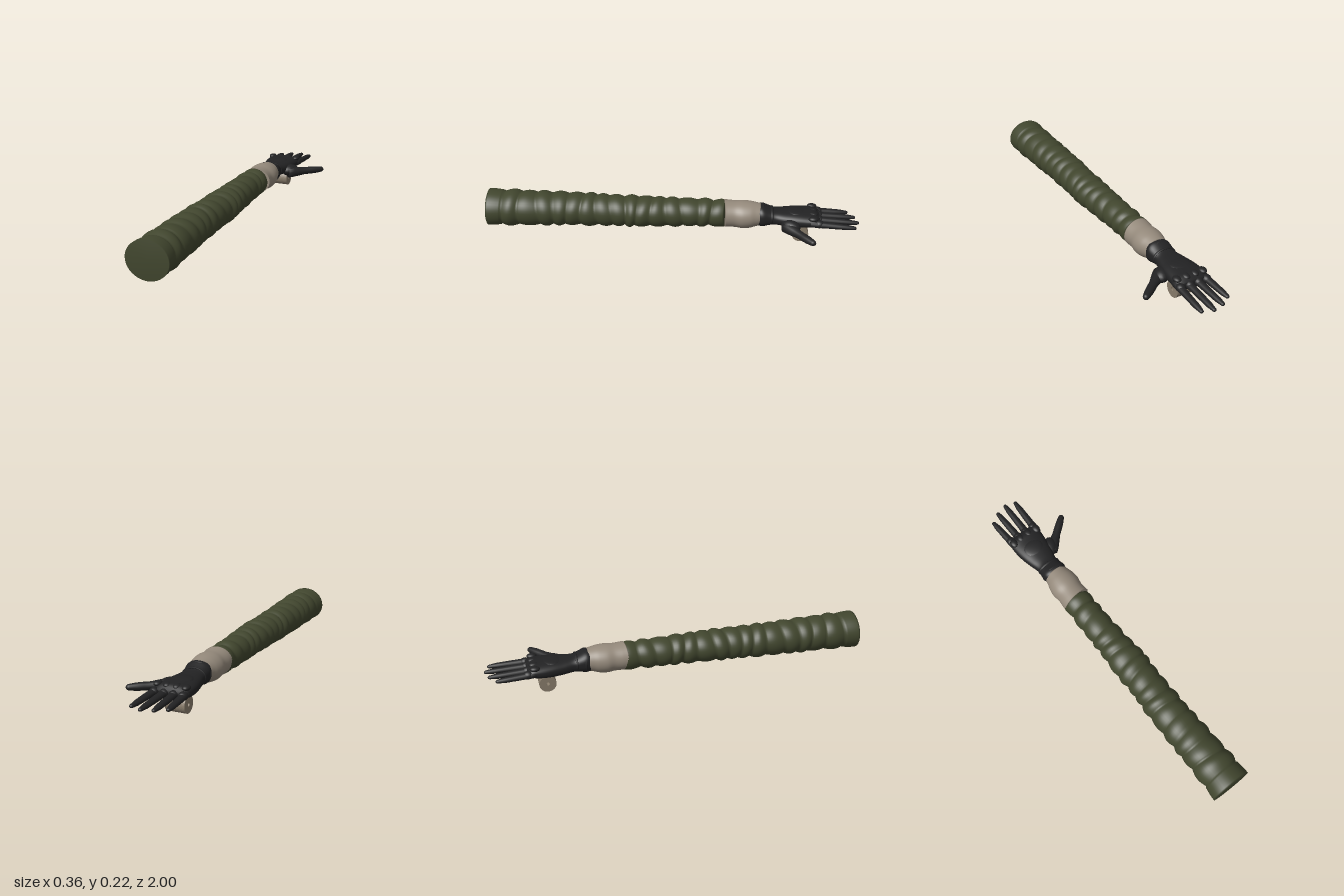
import * as THREE from 'three';

const flat = (name, color) => {
  const m = new THREE.MeshStandardMaterial({ color });
  m.name = name;
  return m;
};
const green = flat('oliveGreen', 0x41462e);
const taupe = flat('cuffTaupe', 0x94897b);
const tan = flat('rollTan', 0x887c6b);
const black = flat('gloveBlack', 0x222223);

function add(parent, name, geometry, material) {
  const mesh = new THREE.Mesh(geometry, material);
  mesh.name = name;
  parent.add(mesh);
  return mesh;
}

// Closed skin through elliptical rings [z, x, y, rx, ry], running from +z to -z
function loft(rings, { sides = 40, power = 2, wobble = () => 0 } = {}) {
  const pos = [], index = [];
  rings.forEach(([z, x, y, rx, ry], i) => {
    for (let j = 0; j < sides; j++) {
      const a = (j / sides) * Math.PI * 2, c = Math.cos(a), s = Math.sin(a);
      pos.push(
        x + rx * Math.sign(c) * Math.abs(c) ** (2 / power),
        y + ry * Math.sign(s) * Math.abs(s) ** (2 / power),
        z + wobble(a, i, z));
      const k = (j + 1) % sides;
      if (i < rings.length - 1) {
        const p = i * sides + j, q = i * sides + k;
        index.push(p, p + sides, q, q, p + sides, q + sides);
      }
    }
  });
  const last = (rings.length - 1) * sides, front = pos.length / 3;
  for (const r of [rings[0], rings[rings.length - 1]]) pos.push(r[1], r[2], r[0]);
  for (let j = 0; j < sides; j++) {
    const k = (j + 1) % sides;
    index.push(front, j, k, front + 1, last + k, last + j);
  }
  const g = new THREE.BufferGeometry();
  g.setAttribute('position', new THREE.Float32BufferAttribute(pos, 3));
  g.setIndex(index);
  g.computeVertexNormals();
  return g;
}

// Smooth curve through a few rings
function refine(rings, steps) {
  const out = [];
  const a = new THREE.CatmullRomCurve3(rings.map((r) => new THREE.Vector3(r[0], r[1], r[2])));
  const b = new THREE.CatmullRomCurve3(rings.map((r) => new THREE.Vector3(r[0], r[3], r[4])));
  for (let i = 0; i <= steps; i++) {
    const p = a.getPoint(i / steps), q = b.getPoint(i / steps);
    out.push([p.x, p.y, p.z, q.y, q.z]);
  }
  return out;
}

// Round-tipped digit from one point to another; radii run from root to tip
function digit(parent, name, from, to, radii, squash) {
  const a = new THREE.Vector3(...from), b = new THREE.Vector3(...to);
  const length = a.distanceTo(b), tip = radii[radii.length - 1];
  const pts = [new THREE.Vector2(0, 0)];
  radii.forEach((r, i) => pts.push(new THREE.Vector2(r, (i / (radii.length - 1)) * (length - tip))));
  for (let i = 1; i <= 5; i++) {
    const t = (i / 5) * Math.PI / 2;
    pts.push(new THREE.Vector2(i === 5 ? 0 : tip * Math.cos(t), length - tip + tip * Math.sin(t)));
  }
  const g = new THREE.LatheGeometry(pts, 16);
  g.scale(1, 1, squash);
  const mesh = add(parent, name, g, black);
  const dir = b.sub(a).normalize();
  const side = new THREE.Vector3().crossVectors(dir, new THREE.Vector3(0, 1, 0)).normalize();
  const up = new THREE.Vector3().crossVectors(side, dir);
  mesh.quaternion.setFromRotationMatrix(new THREE.Matrix4().makeBasis(side, dir, up));
  mesh.position.set(...from);
}

function ellipsoid(parent, name, [x, y, z], [rx, ry, rz], turn = 0) {
  const m = add(parent, name, new THREE.SphereGeometry(1, 20, 12), black);
  m.position.set(x, y, z);
  m.scale.set(rx, ry, rz);
  m.rotation.y = turn;
}

export function createModel() {
  const model = new THREE.Group();
  model.name = 'glovedArm';

  // Sleeve: a row of soft folds between creases
  const creases = [1.05, 0.92, 0.82, 0.73, 0.65, 0.57, 0.49, 0.4, 0.33, 0.26, 0.19, 0.11, 0.03, -0.05, -0.13, -0.21, -0.31];
  const rings = [];
  for (let i = 0; i <= 160; i++) {
    const z = 1 - (i / 160) * 1.29;
    const n = Math.max(0, creases.findIndex((c) => c < z) - 1);
    const f = (creases[n] - z) / (creases[n] - creases[n + 1]);
    const t = (1 - z) / 1.29;
    const depth = n === 0 ? 0.006 : 0.011 + 0.004 * Math.sin(n * 2.3);
    const fold = depth * (Math.sin(Math.PI * f) - 0.6);
    const elbow = 0.008 * Math.exp(-(((z - 0.17) / 0.07) ** 2));
    rings.push([z, -0.07 + 0.003 * Math.sin(z * 9), 0.125 + 0.004 * t,
      0.108 - 0.034 * t + fold + elbow, 0.096 - 0.026 * t + fold]);
  }
  add(model, 'sleeve', loft(rings, {
    wobble: (a, i, z) => (i < 3 ? 0 : 0.012 * Math.sin(a + z * 17) * Math.min(1, (1 - z) * 6)),
  }), green);

  // Lining cuff with a slanted rim
  add(model, 'cuff', loft(refine([
    [-0.28, -0.07, 0.131, 0.081, 0.073], [-0.3, -0.07, 0.13, 0.08, 0.072],
    [-0.34, -0.07, 0.129, 0.077, 0.071], [-0.38, -0.069, 0.128, 0.083, 0.074],
    [-0.42, -0.068, 0.129, 0.079, 0.071], [-0.45, -0.068, 0.131, 0.07, 0.064],
    [-0.475, -0.068, 0.132, 0.064, 0.058],
  ], 36), { wobble: (a, i) => (i < 6 ? 0.01 * Math.cos(a) * -(1 - i / 6) : 0) }), taupe);

  // Glove body with flared wrist
  const glove = new THREE.Group();
  glove.name = 'glove';
  model.add(glove);
  add(glove, 'palm', loft(refine([
    [-0.46, -0.068, 0.131, 0.06, 0.054], [-0.485, -0.068, 0.13, 0.068, 0.058],
    [-0.52, -0.07, 0.127, 0.064, 0.047], [-0.55, -0.071, 0.124, 0.062, 0.039],
    [-0.6, -0.072, 0.122, 0.074, 0.039], [-0.66, -0.073, 0.122, 0.086, 0.041],
    [-0.72, -0.073, 0.123, 0.092, 0.039], [-0.76, -0.071, 0.125, 0.092, 0.034],
    [-0.79, -0.07, 0.121, 0.088, 0.018],
  ], 40), { power: 2.4 }), black);

  // Wrist bands
  for (const [z, rx, ry] of [[-0.49, 0.064, 0.055], [-0.535, 0.061, 0.042]]) {
    const band = new THREE.TorusGeometry(1, 0.09, 8, 40);
    band.scale(rx, ry, 0.075);
    add(glove, 'wristBand', band, black).position.set(-0.07, 0.128, z);
  }

  // Fingers with a knuckle pad and seam pad behind each
  const fingers = [[-0.143, -0.153, -0.95], [-0.096, -0.1, -0.985], [-0.046, -0.04, -1], [0.005, 0.017, -0.98]];
  for (const [x, tipX, tipZ] of fingers) {
    digit(glove, 'finger', [x, 0.123, -0.74], [tipX, 0.111, tipZ],
      [0.021, 0.022, 0.0195, 0.019, 0.0175, 0.0165, 0.011], 0.82);
    ellipsoid(glove, 'knucklePad', [x, 0.151, -0.752], [0.02, 0.013, 0.026]);
    ellipsoid(glove, 'fingerMount', [x, 0.122, -0.785], [0.024, 0.021, 0.028]);
  }
  // Raised panel on the back of the hand
  ellipsoid(glove, 'backPanel', [-0.075, 0.155, -0.665], [0.055, 0.011, 0.055]);

  // Thumb and its base
  ellipsoid(glove, 'thumbBase', [0.01, 0.108, -0.635], [0.04, 0.033, 0.055], -0.6);
  digit(glove, 'thumb', [0.005, 0.1, -0.612], [0.18, 0.102, -0.752],
    [0.034, 0.032, 0.027, 0.022, 0.022, 0.021, 0.0165], 0.95);

  // Pierced roll under the palm
  const disc = new THREE.Shape().absarc(0, 0, 0.044, 0, Math.PI * 2);
  disc.holes.push(new THREE.Path().absarc(0, 0, 0.009, 0, Math.PI * 2, true));
  const roll = add(model, 'roll', new THREE.ExtrudeGeometry(disc, { depth: 0.104, bevelEnabled: false, curveSegments: 20 }), tan);
  roll.rotation.y = Math.PI / 2;
  roll.position.set(-0.121, 0.044, -0.69);

  return model;
}
